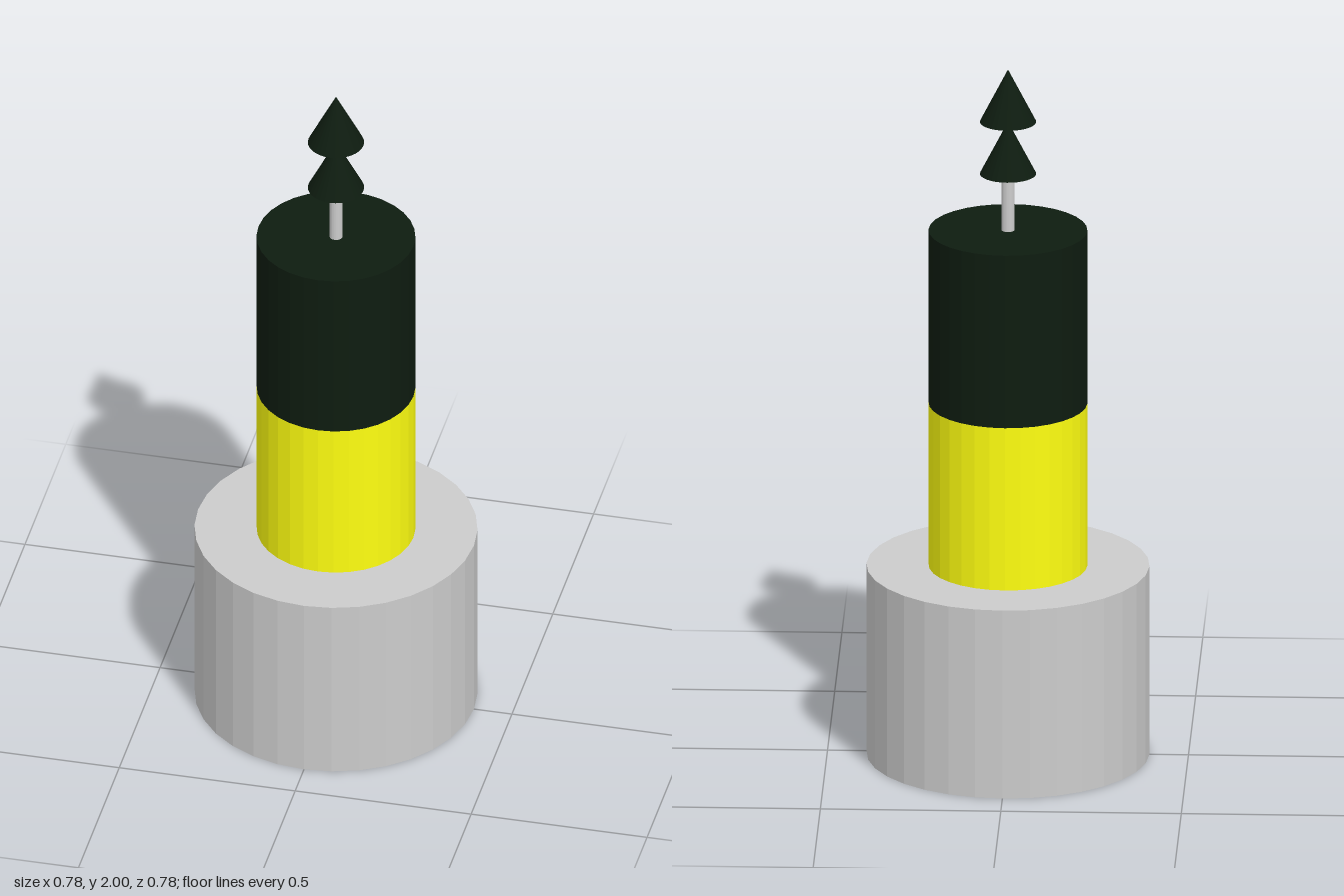
import * as THREE from 'three';

const SIDES = 32;

const material = (color) => new THREE.MeshStandardMaterial({ color, flatShading: true });

export function createModel() {
  const model = new THREE.Group();
  model.name = 'beaconBuoy';

  const grey = material(0xcccccc);
  const yellow = material(0xffff10);
  const darkGreen = material(0x0e1c10);

  // Adds an upright round part spanning two heights
  function addRound(name, topRadius, bottomRadius, y0, y1, mat) {
    const geometry = new THREE.CylinderGeometry(topRadius, bottomRadius, y1 - y0, SIDES);
    const mesh = new THREE.Mesh(geometry, mat);
    mesh.name = name;
    mesh.position.y = (y0 + y1) / 2;
    model.add(mesh);
  }

  // Wide float and two-coloured column
  addRound('floatBase', 0.392, 0.392, 0, 0.55, grey);
  addRound('lowerColumn', 0.22, 0.22, 0.55, 1.025, yellow);
  addRound('upperColumn', 0.22, 0.22, 1.025, 1.53, darkGreen);

  // Thin mast carrying two upward-pointing cones
  addRound('mast', 0.018, 0.018, 1.53, 1.75, grey);
  addRound('lowerCone', 0, 0.078, 1.695, 1.847, darkGreen);
  addRound('upperCone', 0, 0.078, 1.847, 2, darkGreen);

  return model;
}
